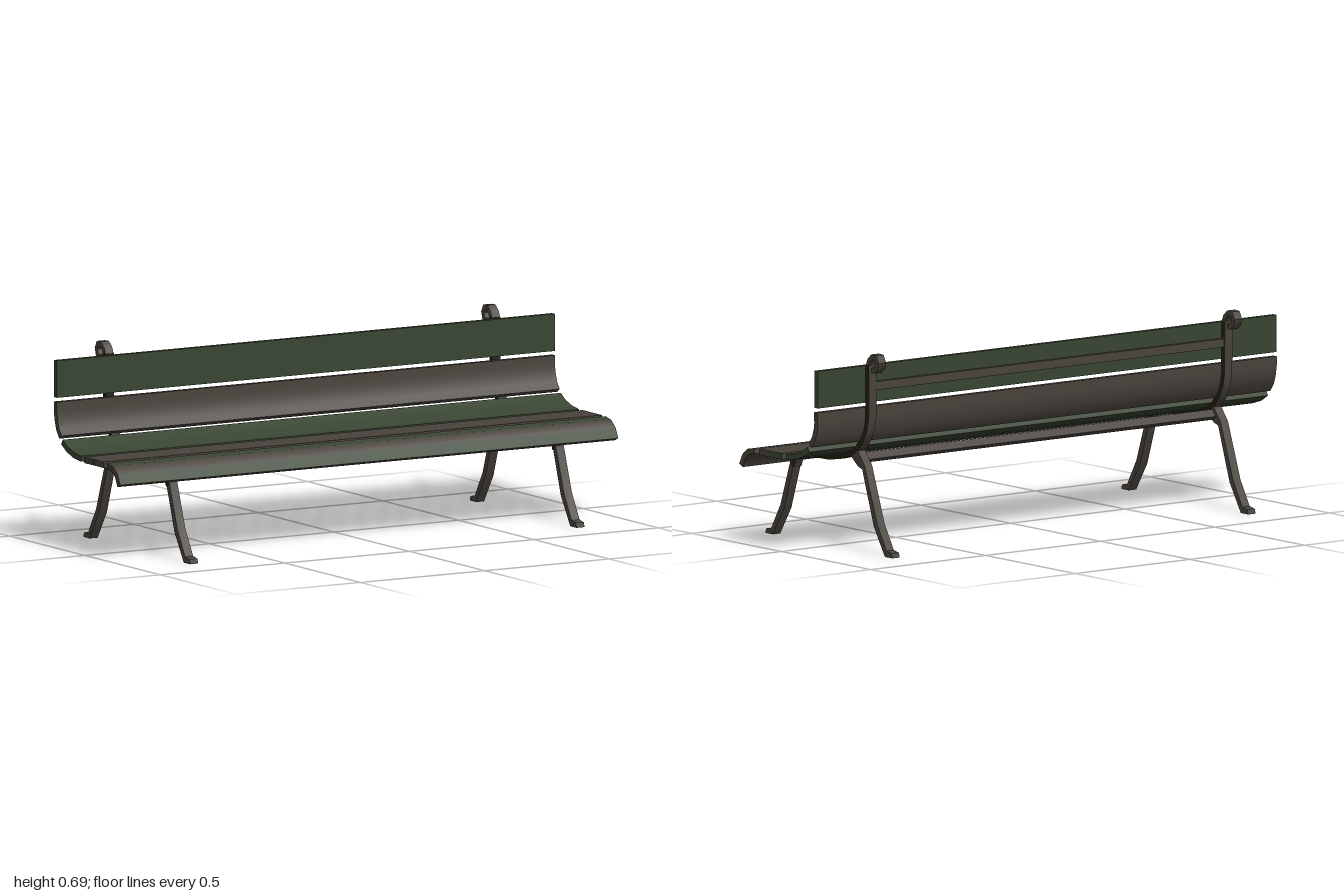
import * as THREE from 'three';
import { toCreasedNormals } from 'three/addons/utils/BufferGeometryUtils.js';

const green = new THREE.MeshStandardMaterial({ name: 'greenPaint', color: 0x394532 });
const brown = new THREE.MeshStandardMaterial({ name: 'brownPaint', color: 0x49433c });
const dark = new THREE.MeshStandardMaterial({ name: 'darkIron', color: 0x24210f });

// Side profile given as [z, y] points, extruded along x and centred
function extrudeProfile(points, width) {
  const shape = new THREE.Shape(points.map(([z, y]) => new THREE.Vector2(z, y)));
  const geo = new THREE.ExtrudeGeometry(shape, { depth: width, bevelEnabled: false });
  geo.translate(0, 0, -width / 2);
  geo.rotateY(-Math.PI / 2);
  return toCreasedNormals(geo, 0.7);
}

// Outline of a bent strip: mitred offsets on both sides of a centre line
function ribbon(path, thickness, shift = 0) {
  const pts = path.map(([z, y]) => new THREE.Vector2(z, y));
  const normal = (a, b) => new THREE.Vector2(a.y - b.y, b.x - a.x).normalize();
  const side = (d) => pts.map((p, i) => {
    const n1 = normal(pts[Math.max(i - 1, 0)], pts[Math.max(i, 1)]);
    const last = pts.length - 1;
    const n2 = normal(pts[Math.min(i, last - 1)], pts[Math.min(i + 1, last)]);
    const m = n1.clone().add(n2).normalize();
    const k = d / Math.max(m.dot(n1), 0.5);
    return [p.x + m.x * k, p.y + m.y * k];
  });
  return [...side(shift + thickness / 2), ...side(shift - thickness / 2).reverse()];
}

export function createModel() {
  const group = new THREE.Group();
  group.name = 'bench';
  const add = (parent, name, geo, material) => {
    const mesh = new THREE.Mesh(geo, material);
    mesh.name = name;
    parent.add(mesh);
  };

  // Five full-width slats, from the front of the seat to the top of the back
  const frontBend = [[0.146, 0.331], [0.184, 0.324], [0.207, 0.306], [0.224, 0.271]];
  const middle = [[0.125, 0.332], [-0.004, 0.332]];
  const slats = [
    ['frontSlat', brown, frontBend],
    ['middleSeatSlat', brown, middle],
    ['rearSeatSlat', green, [[-0.027, 0.332], [-0.075, 0.339], [-0.118, 0.353], [-0.152, 0.374]]],
    ['lowerBackSlat', brown, [[-0.162, 0.389], [-0.181, 0.415], [-0.192, 0.449], [-0.195, 0.475], [-0.195, 0.508]]],
    ['upperBackSlat', green, [[-0.195, 0.523], [-0.195, 0.652]]],
  ];
  for (const [name, material, path] of slats) {
    add(group, name, extrudeProfile(ribbon(path, 0.02), 2), material);
  }
  // Green faces: the rolled front edge and the underside of the middle slat
  add(group, 'frontSlatFace', extrudeProfile(ribbon(frontBend.slice(2), 0.002, 0.0102), 2), green);
  add(group, 'middleSlatUnderside', extrudeProfile(ribbon(middle, 0.002, 0.0102), 2), green);
  // Green patches on the slat ends, just proud of the end faces
  const endPatches = [
    [[0.147, 0.331], [0.18, 0.325]],
    [[0.06, 0.332], [-0.003, 0.332]],
    [[-0.195, 0.475], [-0.195, 0.507]],
  ];
  for (const path of endPatches) {
    add(group, 'slatEndPatch', extrudeProfile(ribbon(path, 0.0196), 2.002), green);
  }

  // Iron side frame profiles
  const frontLeg = [[0.354, 0], [0.35, 0.016], [0.321, 0.022], [0.27, 0.11], [0.213, 0.274],
    [0.194, 0.266], [0.25, 0.098], [0.312, 0]];
  const backLeg = [[-0.354, 0], [-0.349, 0.016], [-0.321, 0.022], [-0.27, 0.107], [-0.2, 0.302],
    [-0.16, 0.352], [-0.122, 0.328], [-0.16, 0.297], [-0.186, 0.288], [-0.25, 0.098], [-0.312, 0]];
  const seatAndBack = [[0.204, 0.252], [0.19, 0.288], [0.168, 0.305], [0, 0.309], [-0.06, 0.319],
    [-0.125, 0.337], [-0.155, 0.357], [-0.184, 0.39], [-0.204, 0.428], [-0.213, 0.472], [-0.214, 0.656]];
  const scroll = [[-0.214, 0.652], [-0.223, 0.672], [-0.24, 0.686], [-0.259, 0.685], [-0.269, 0.667],
    [-0.263, 0.648], [-0.25, 0.639], [-0.238, 0.641]];

  for (const s of [1, -1]) {
    const frame = new THREE.Group();
    frame.name = s > 0 ? 'leftFrame' : 'rightFrame';
    frame.position.x = s * 0.776;
    add(frame, 'frontLeg', extrudeProfile(frontLeg, 0.032), brown);
    add(frame, 'backLeg', extrudeProfile(backLeg, 0.032), brown);
    add(frame, 'seatAndBackRail', extrudeProfile(ribbon(seatAndBack, 0.018), 0.034), dark);
    add(frame, 'railOuterFace', extrudeProfile(ribbon(seatAndBack, 0.002, 0.0088), 0.033), brown);
    add(frame, 'topScroll', extrudeProfile(ribbon(scroll, 0.0175), 0.032), brown);
    group.add(frame);
  }

  // Cross bars tying the two frames together
  const lowBar = new THREE.BoxGeometry(1.55, 0.03, 0.02);
  lowBar.rotateX(0.7);
  lowBar.translate(0, 0.323, -0.155);
  add(group, 'lowerCrossBar', lowBar, brown);
  const highBar = new THREE.BoxGeometry(1.55, 0.03, 0.014);
  highBar.translate(0, 0.58, -0.214);
  add(group, 'upperCrossBar', highBar, brown);

  return group;
}
